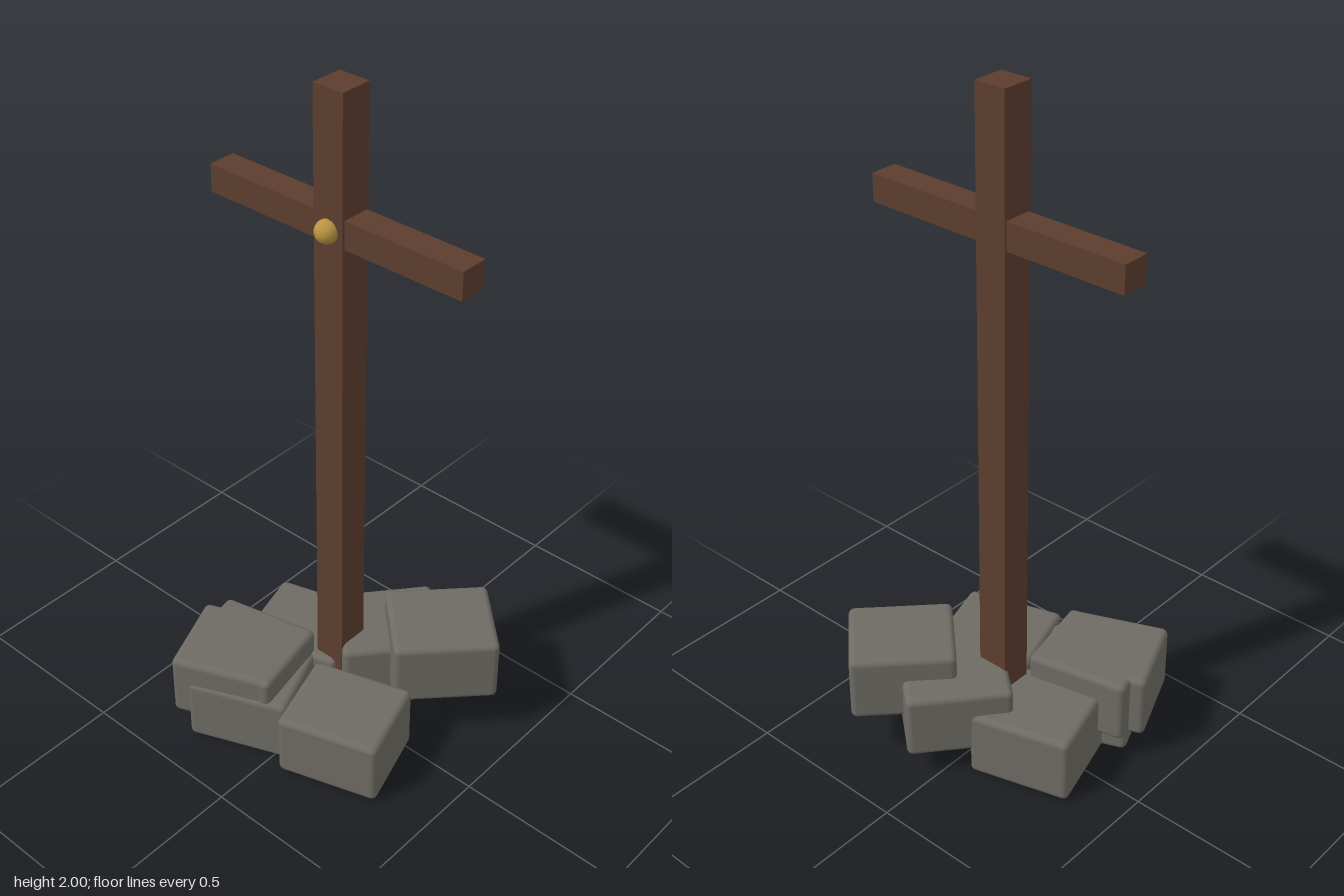
import * as THREE from 'three';
import { RoundedBoxGeometry } from 'three/addons/geometries/RoundedBoxGeometry.js';

export function createModel() {
  const model = new THREE.Group();
  model.name = 'woodenCrossOnStones';

  const material = (name, color) => {
    const m = new THREE.MeshStandardMaterial({ color });
    m.name = name;
    return m;
  };
  const wood = material('dark brown wood', 0x5c3d2e);
  const stone = material('grey stone', 0x6e6b64);
  const brass = material('brass', 0xb8923f);

  const add = (parent, name, geometry, mat, x, y, z) => {
    const mesh = new THREE.Mesh(geometry, mat);
    mesh.name = name;
    mesh.position.set(x, y, z);
    parent.add(mesh);
    return mesh;
  };

  // Cross: upright, crossbar and round boss where they meet
  const bottom = 0.1;
  add(model, 'post', new THREE.BoxGeometry(0.095, 2 - bottom, 0.095), wood, -0.011, (2 + bottom) / 2, -0.02);
  add(model, 'crossbar', new THREE.BoxGeometry(0.827, 0.08, 0.082), wood, -0.011, 1.625, -0.021);
  add(model, 'boss', new THREE.SphereGeometry(0.032, 24, 16), brass, -0.011, 1.625, 0.033);

  // Heap of rounded stones around the foot: x, z, bottom, top, turn in degrees
  const pile = new THREE.Group();
  pile.name = 'stonePile';
  model.add(pile);
  const stones = [
    ['frontLeftStone', 0.155, 0.146, 0.004, 0.205, 17.5],
    ['frontRightLowStone', -0.153, 0.205, 0.002, 0.203, 22],
    ['backRightLowStone', -0.167, -0.05, 0, 0.205, 16],
    ['frontRightUpperStone', -0.203, 0.218, 0.078, 0.276, 22.7],
    ['frontRightInnerStone', -0.187, 0.19, 0.08, 0.275, 12],
    ['backMiddleStone', 0.058, -0.155, 0.078, 0.275, 50],
    ['backLeftHighStone', 0.222, -0.2, 0.145, 0.346, 46],
  ];
  for (const [name, x, z, y0, y1, turn] of stones) {
    const geometry = new RoundedBoxGeometry(0.305, y1 - y0, 0.27, 3, 0.018);
    const mesh = add(pile, name, geometry, stone, x, (y0 + y1) / 2, z);
    mesh.rotation.y = THREE.MathUtils.degToRad(turn);
  }

  return model;
}
